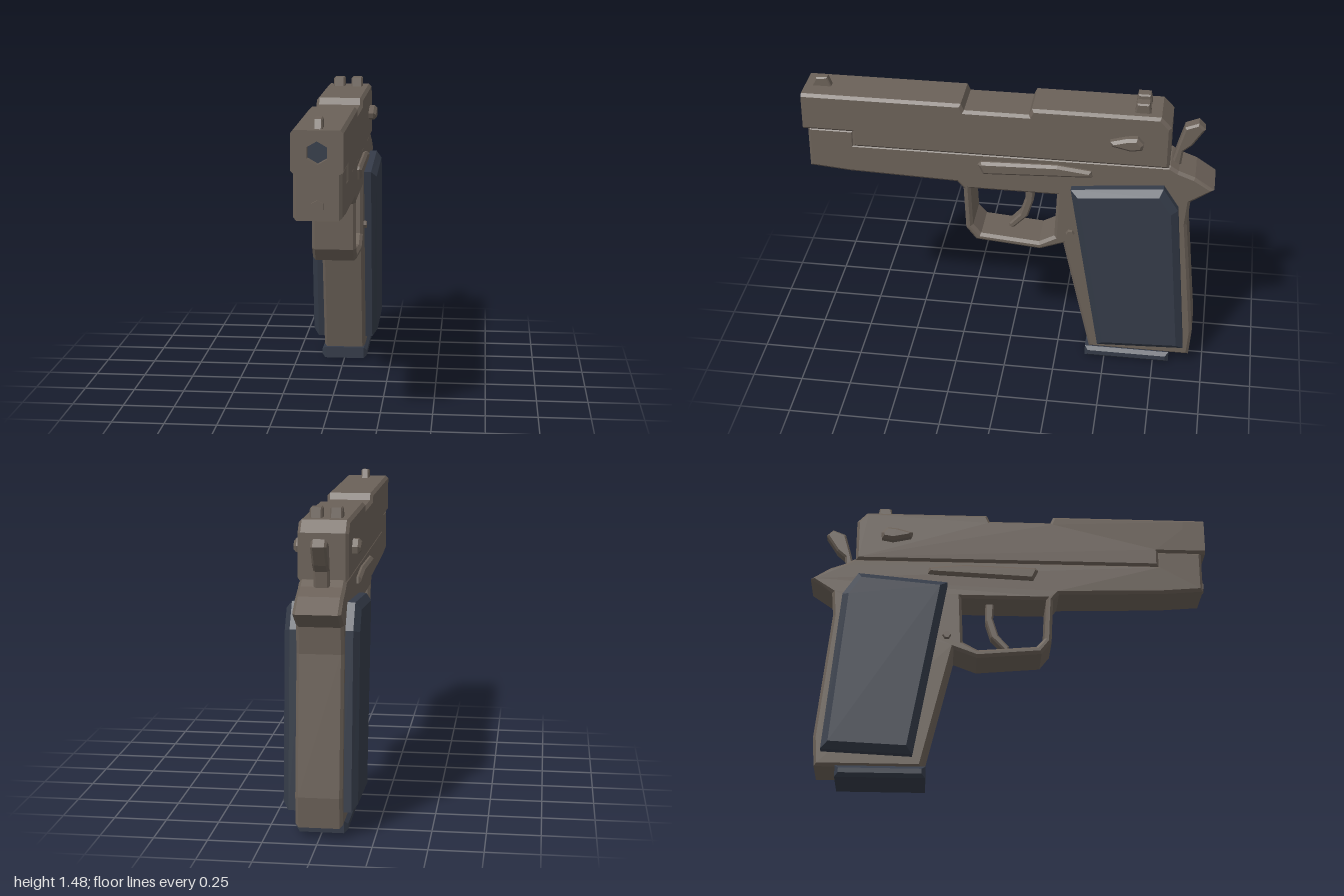
import * as THREE from 'three';

export function createModel() {
  const model = new THREE.Group();
  model.name = 'pistol';

  const metal = new THREE.MeshStandardMaterial({ color: 0x6b6158, flatShading: true });
  metal.name = 'warm grey metal';
  const dark = new THREE.MeshStandardMaterial({ color: 0x343b48, flatShading: true });
  dark.name = 'dark blue grip';

  const points = list => list.map(([a, b]) => new THREE.Vector2(a, b));

  function add(name, geometry, material) {
    const mesh = new THREE.Mesh(geometry, material);
    mesh.name = name;
    model.add(mesh);
    return mesh;
  }

  // Side outline given as [z, y], spanning x0 to x1, with bevelled edges inside the outline
  function plate(name, outline, x0, x1, bevel, material = metal, hole = null, bevelDepth = bevel) {
    const shape = new THREE.Shape(points(outline));
    if (hole) shape.holes.push(new THREE.Path(points(hole)));
    const geometry = new THREE.ExtrudeGeometry(shape, {
      depth: x1 - x0 - 2 * bevelDepth, bevelEnabled: true, bevelSegments: 1,
      bevelSize: bevel, bevelThickness: bevelDepth, bevelOffset: -bevel,
    });
    geometry.rotateY(-Math.PI / 2);
    geometry.translate(x1 - bevelDepth, 0, 0);
    return add(name, geometry, material);
  }

  // Slide with the lowered middle section
  const W = 0.116;
  plate('slide', [
    [0.95, 1.433], [0.225, 1.433], [0.21, 1.4], [-0.1, 1.4], [-0.115, 1.433], [-0.725, 1.433],
    [-0.775, 1.38], [-0.775, 1.16], [0.76, 1.16], [0.76, 1.24], [0.95, 1.24],
  ], -W, W, 0.014);

  // Muzzle end with a six-sided bore
  const c = 0.014;
  const muzzle = new THREE.Shape(points([
    [-W, 1.24 + c], [-W + c, 1.24], [W - c, 1.24], [W, 1.24 + c],
    [W, 1.433 - c], [W - c, 1.433], [-W + c, 1.433], [-W, 1.433 - c],
  ]));
  const hexagon = Array.from({ length: 6 }, (_, i) => {
    const a = Math.PI / 2 + i * Math.PI / 3;
    return [0.052 * Math.cos(a), 1.333 + 0.052 * Math.sin(a)];
  });
  muzzle.holes.push(new THREE.Path(points(hexagon)));
  const muzzleGeometry = new THREE.ExtrudeGeometry(muzzle, { depth: 0.11, bevelEnabled: false });
  muzzleGeometry.translate(0, 0, 0.89);
  add('muzzle', muzzleGeometry, metal);
  const boreGeometry = new THREE.ShapeGeometry(new THREE.Shape(points(hexagon)));
  boreGeometry.translate(0, 0, 0.953);
  add('bore', boreGeometry, dark);

  // Frame, handle core and trigger guard in one outline
  plate('frame', [
    [0.98, 1.25], [0.75, 1.25], [0.75, 1.17], [-0.78, 1.17], [-0.82, 1.145], [-0.9, 1.115],
    [-0.995, 1.052], [-0.885, 0.975], [-0.875, 0.85], [-0.94, 0.2], [-0.93, 0.055],
    [-0.42, 0.055], [-0.275, 0.68], [-0.16, 0.636], [0.16, 0.665], [0.21, 0.73],
    [0.22, 0.96], [0.25, 0.995], [0.78, 1.012], [0.98, 1.03],
  ], -0.108, 0.108, 0.014, metal, [
    [0.185, 0.962], [-0.24, 0.962], [-0.23, 0.72], [-0.155, 0.678], [0.135, 0.703], [0.175, 0.75],
  ]);

  // Recoil rod tip below the muzzle
  const rod = new THREE.CylinderGeometry(0.03, 0.03, 0.06, 6);
  rod.rotateX(Math.PI / 2);
  rod.translate(0, 1.095, 0.968);
  add('recoilRod', rod, metal);

  plate('trigger', [
    [-0.073, 0.98], [-0.078, 0.88], [-0.05, 0.79], [0.003, 0.73], [0.002, 0.71],
    [-0.02, 0.708], [-0.09, 0.78], [-0.117, 0.87], [-0.117, 0.98],
  ], -0.035, 0.035, 0.008);

  plate('hammer', [
    [-0.76, 1.12], [-0.785, 1.16], [-0.808, 1.25], [-0.835, 1.345], [-0.9, 1.372], [-0.932, 1.34],
    [-0.875, 1.25], [-0.835, 1.215], [-0.825, 1.12],
  ], -0.036, 0.036, 0.01);

  // Sights
  plate('frontSight', [[0.97, 1.425], [0.945, 1.475], [0.89, 1.48], [0.868, 1.425]], -0.02, 0.02, 0.006);

  // Parts repeated on both sides
  for (const [side, s] of [['left', 1], ['right', -1]]) {
    const pair = (name, outline, inner, outer, bevel, material, depth) =>
      plate(side + name, outline, Math.min(s * inner, s * outer), Math.max(s * inner, s * outer),
        bevel, material, null, depth);

    pair('RearSight', [[-0.595, 1.42], [-0.605, 1.48], [-0.665, 1.48], [-0.675, 1.42]], 0.017, 0.075, 0.007);
    pair('GripPanel', [
      [-0.31, 1.025], [-0.755, 1.066], [-0.83, 0.95], [-0.9, 0.125], [-0.465, 0.105],
    ], 0.06, 0.171, 0.033, dark, 0.027);
    pair('SlideStop', [
      [0.145, 1.115], [0.12, 1.062], [-0.36, 1.083], [-0.41, 1.088], [-0.405, 1.12],
      [-0.24, 1.14], [0.13, 1.13],
    ], 0.08, 0.131, 0.013);
    pair('SafetyLever', [
      [-0.49, 1.305], [-0.5, 1.28], [-0.59, 1.26], [-0.645, 1.27], [-0.65, 1.3],
      [-0.62, 1.333], [-0.57, 1.328],
    ], 0.09, 0.155, 0.014);

    const pin = new THREE.CylinderGeometry(0.018, 0.027, 0.03, 6);
    pin.rotateZ(-s * Math.PI / 2);
    pin.translate(s * 0.108, 0.75, -0.31);
    add(side + 'FramePin', pin, metal);
  }

  // Magazine base below the handle
  plate('magazineBase', [[-0.4, 0.058], [-0.4, 0], [-0.83, 0], [-0.83, 0.058]], -0.12, 0.12, 0.017, dark);

  return model;
}
